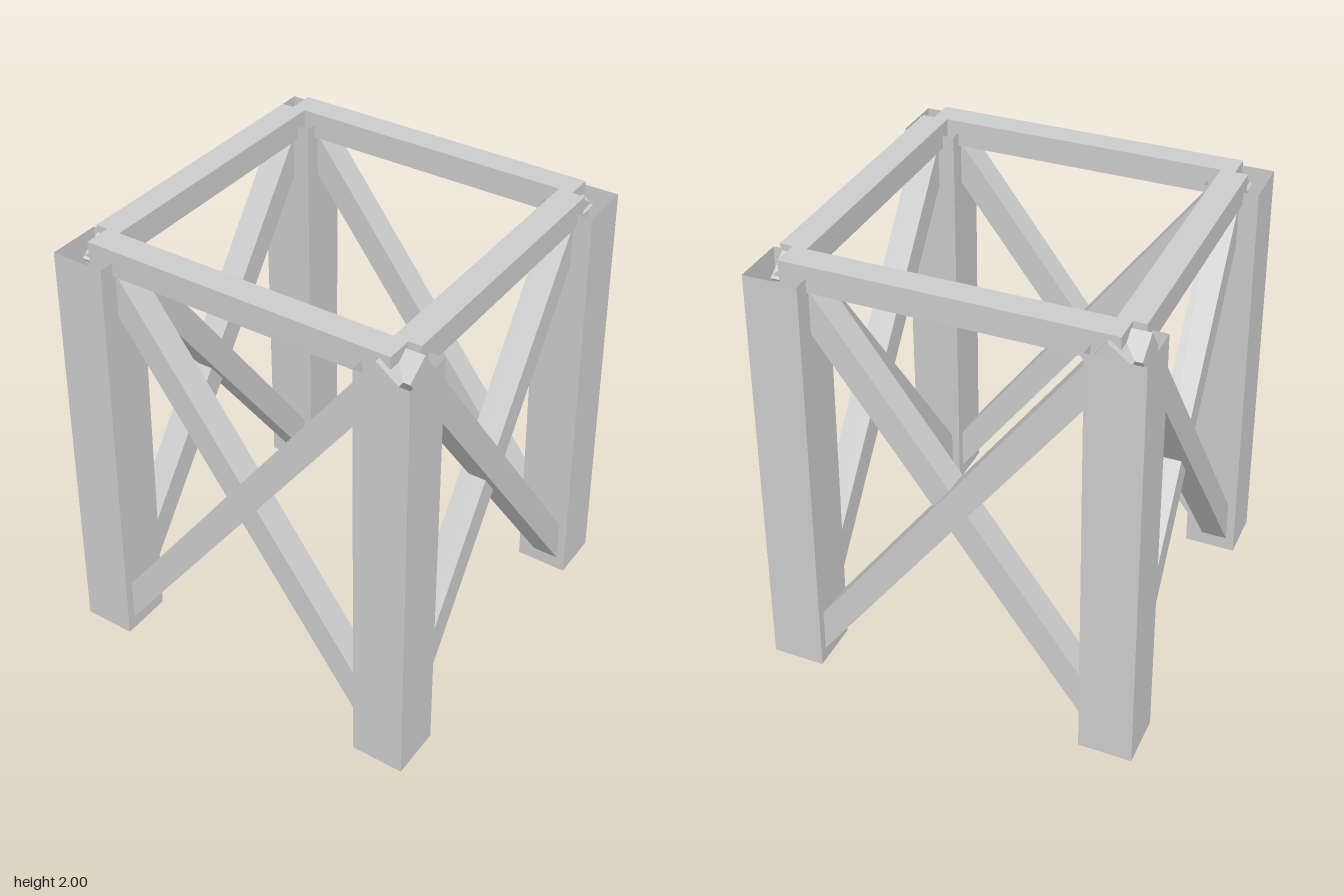
import * as THREE from 'three';

export function createModel() {
  const group = new THREE.Group();
  const mat = new THREE.MeshStandardMaterial({ color: 0xcccccc, flatShading: true });
  const openMat = new THREE.MeshStandardMaterial({ color: 0xcccccc, flatShading: true, side: THREE.DoubleSide });

  // Corner legs: open square tubes leaning inwards
  const legBottom = 0.04, legTop = 1.945, legHeight = legTop - legBottom, legWidth = 0.233;
  const bottomOffset = 0.717, topOffset = 0.683;
  const lean = (topOffset - bottomOffset) / legHeight;
  for (const sx of [-1, 1]) {
    for (const sz of [-1, 1]) {
      const r = legWidth / Math.SQRT2;
      const geo = new THREE.CylinderGeometry(r, r, legHeight, 4, 1, true);
      geo.rotateY(Math.PI / 4);
      geo.translate(0, legHeight / 2, 0);
      geo.applyMatrix4(new THREE.Matrix4().set(
        1, sx * lean, 0, sx * bottomOffset,
        0, 1, 0, legBottom,
        0, sz * lean, 1, sz * bottomOffset,
        0, 0, 0, 1));
      const leg = new THREE.Mesh(geo, openMat);
      leg.name = 'leg';
      group.add(leg);
    }
  }

  // Square timber running between two points, with its depth along z
  const timber = 0.118;
  function brace(from, to) {
    const along = to.clone().sub(from);
    const mesh = new THREE.Mesh(new THREE.BoxGeometry(along.length(), timber, timber), mat);
    const x = along.clone().normalize();
    const y = new THREE.Vector3(0, 0, 1).cross(x).normalize();
    const z = x.clone().cross(y);
    mesh.quaternion.setFromRotationMatrix(new THREE.Matrix4().makeBasis(x, y, z));
    mesh.position.copy(from).add(to).multiplyScalar(0.5);
    mesh.name = 'crossBrace';
    return mesh;
  }

  // Four sides, each with a top rail and a pair of crossed braces
  for (let i = 0; i < 4; i++) {
    const side = new THREE.Group();
    side.name = ['frontSide', 'leftSide', 'backSide', 'rightSide'][i];
    side.rotation.y = i * Math.PI / 2;

    const railLength = i % 2 ? 1.24 : 1.36;
    const rail = new THREE.Mesh(new THREE.BoxGeometry(railLength, 0.115, 0.115), mat);
    rail.position.set(0, 1.9425, 0.677);
    rail.name = 'topRail';
    side.add(rail);

    // The outer brace swaps direction on neighbouring sides
    const outer = i % 2 ? -1 : 1;
    for (const s of [-1, 1]) {
      const shift = s === outer ? 0.02 : -0.02;
      side.add(brace(
        new THREE.Vector3(-s * 0.724, 0.035, 0.718 + shift),
        new THREE.Vector3(s * 0.682, 1.945, 0.68 + shift)));
    }
    group.add(side);
  }
  return group;
}
